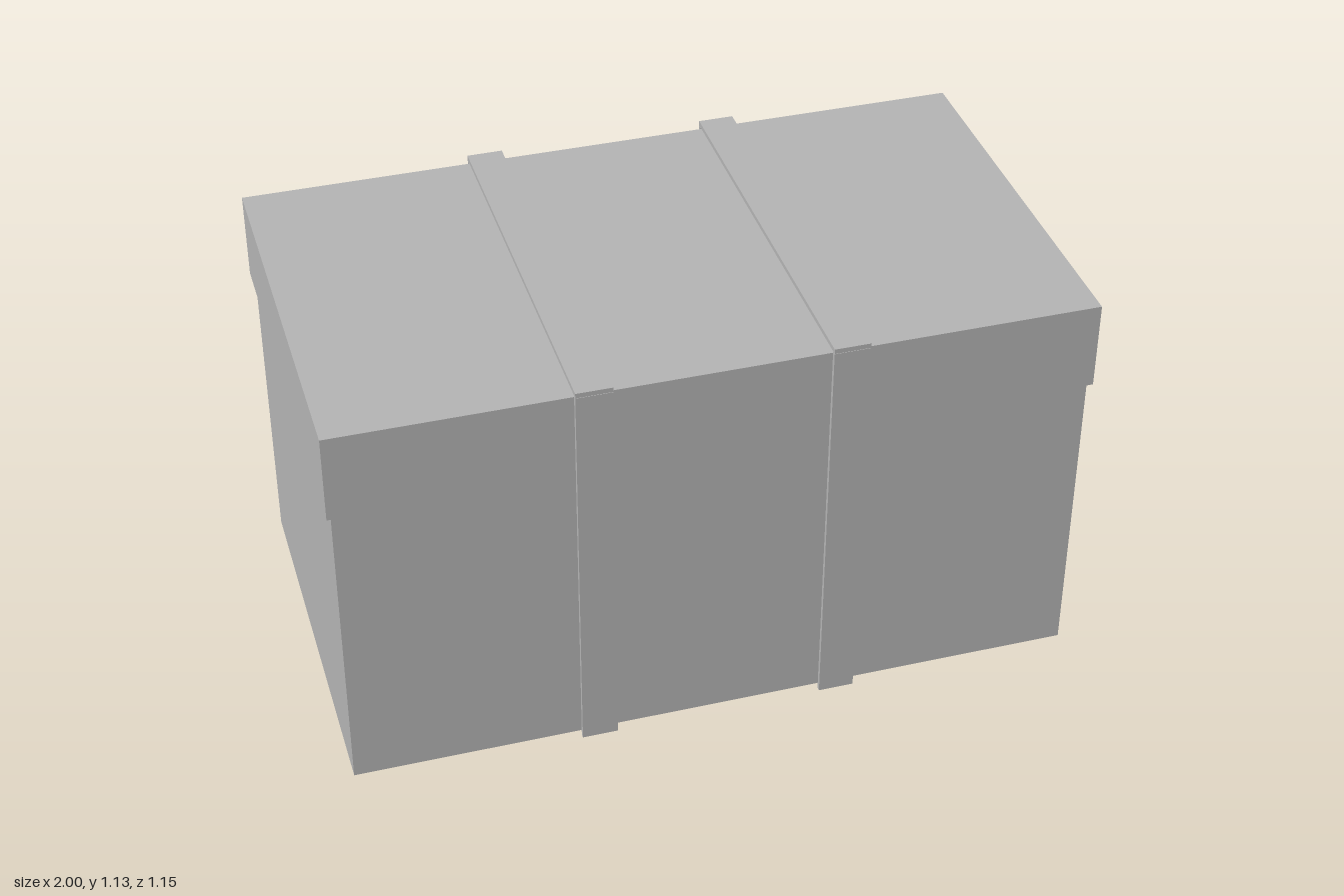
import * as THREE from 'three';

export function createModel() {
  const model = new THREE.Group();
  model.name = 'chest';
  const grey = new THREE.MeshStandardMaterial({ color: 0xb2b2b2 });
  grey.name = 'plain grey';

  // Box given by its [min, max] extent along each axis
  function box(name, [x0, x1], [y0, y1], [z0, z1]) {
    const mesh = new THREE.Mesh(new THREE.BoxGeometry(x1 - x0, y1 - y0, z1 - z0), grey);
    mesh.position.set((x0 + x1) / 2, (y0 + y1) / 2, (z0 + z1) / 2);
    mesh.name = name;
    model.add(mesh);
  }

  // The rear plate shifts the chest slightly forward of centre
  const zc = 0.004;
  const around = (half) => [zc - half, zc + half];

  // Body and overhanging lid, with a narrow gap between them
  box('body', [-0.988, 0.988], [0.004, 0.861], around(0.548));
  box('lid', [-1, 1], [0.867, 1.109], around(0.56));

  // Two straps, each running up the front, over the lid and down the back
  for (const [side, x] of [['left', 0.33], ['right', -0.33]]) {
    const width = [x - 0.048, x + 0.048];
    box(side + 'StrapTop', width, [1.114, 1.127], around(0.573));
    box(side + 'StrapFront', width, [0, 1.113], [zc + 0.561, zc + 0.573]);
    box(side + 'StrapBack', width, [0, 1.113], [zc - 0.573, zc - 0.561]);
  }

  // Clasp plate across the lid seam at the back
  box('claspPlate', [-0.1, 0.1], [0.697, 0.94], [-0.577, -0.557]);

  return model;
}
